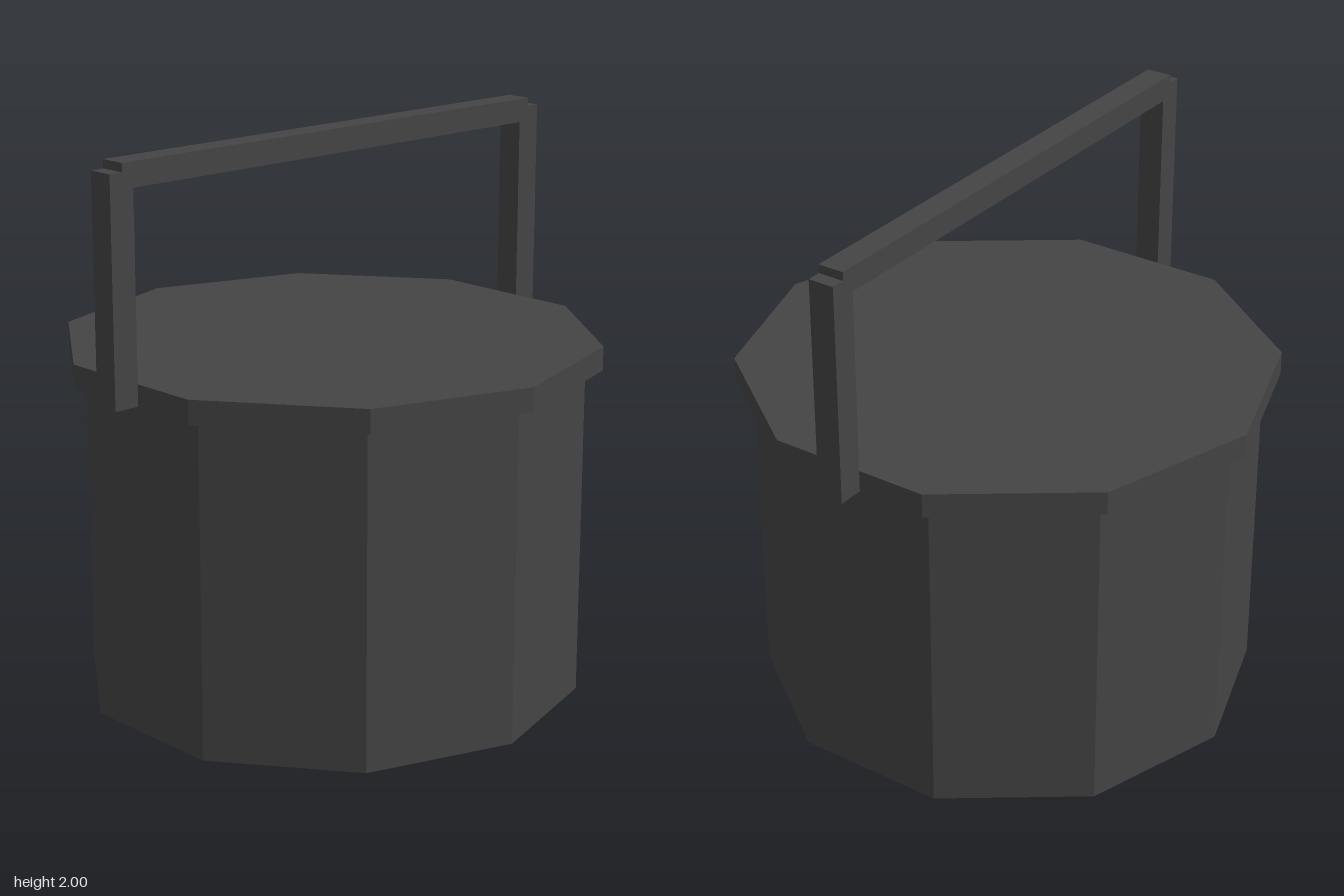
import * as THREE from 'three';

export function createModel() {
  const model = new THREE.Group();
  model.name = 'liddedBucket';
  const charcoal = new THREE.MeshStandardMaterial({ color: 0x444444 });
  charcoal.name = 'charcoal';
  charcoal.flatShading = true;

  const add = (name, geometry, x, y) => {
    const mesh = new THREE.Mesh(geometry, charcoal);
    mesh.name = name;
    mesh.position.set(x, y, 0);
    model.add(mesh);
  };

  // Ten-sided prism standing between two heights, a corner facing the front
  const prism = (name, radius, y0, y1) =>
    add(name, new THREE.CylinderGeometry(radius, radius, y1 - y0, 10), 0, (y0 + y1) / 2);

  prism('body', 0.89, 0, 1.18);
  prism('lid', 0.95, 1.18, 1.265);

  // Square-section handle: two posts beside the lid and a bar across the top
  const t = 0.094;
  for (const [name, side] of [['leftHandlePost', 1], ['rightHandlePost', -1]]) {
    add(name, new THREE.BoxGeometry(t, 0.775, t), side * (1 - t / 2), 1.5785);
  }
  add('handleBar', new THREE.BoxGeometry(1.9, 0.085, t), 0, 1.9535);

  return model;
}
